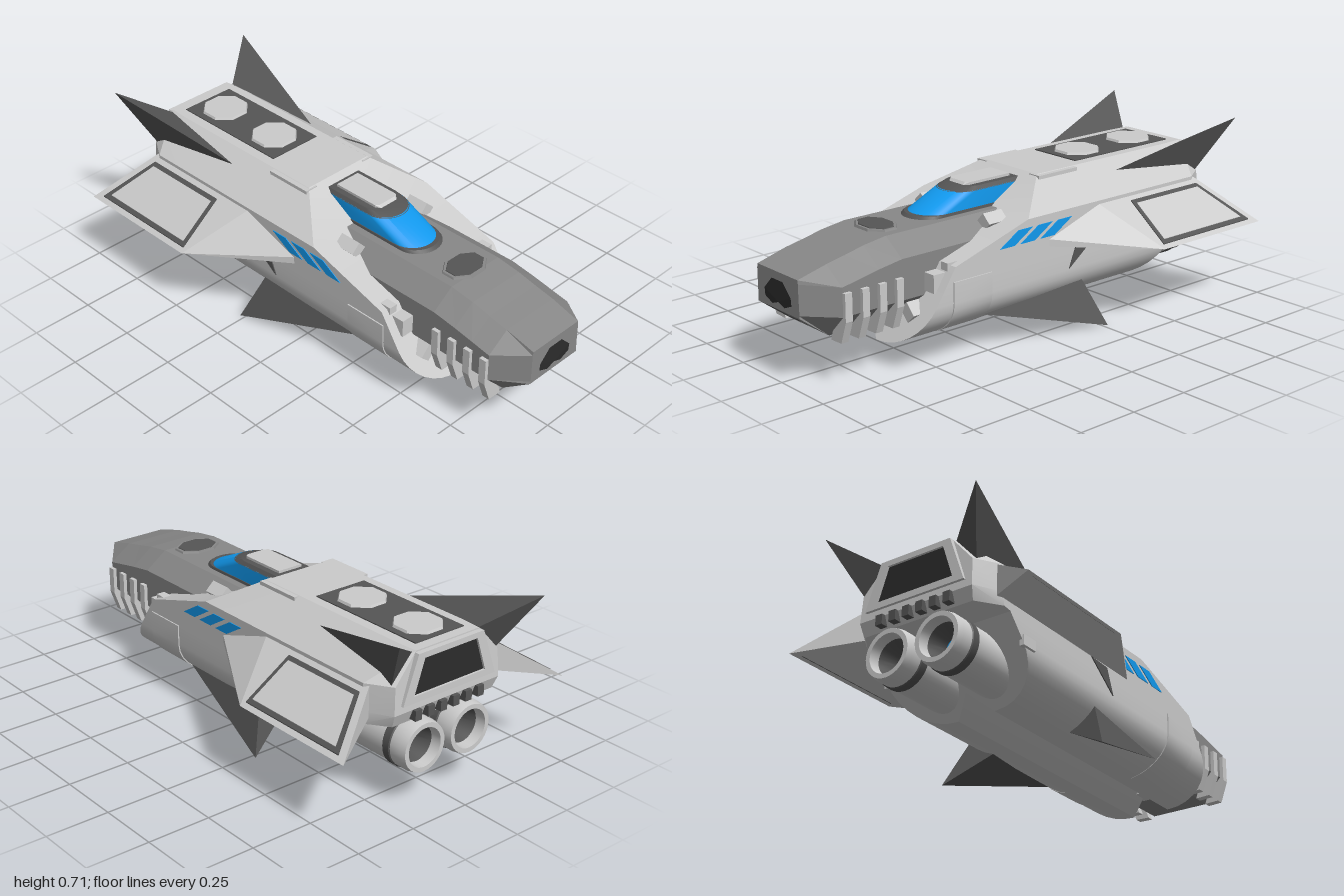
import * as THREE from 'three';
import { toCreasedNormals } from 'three/addons/utils/BufferGeometryUtils.js';
import { ConvexGeometry } from 'three/addons/geometries/ConvexGeometry.js';

const paint = (color) => new THREE.MeshStandardMaterial({ color });
const light = paint(0xcccccc);
const mid = paint(0x888888);
const dark = paint(0x555555);
const black = paint(0x2c2c2c);
const blue = paint(0x1199ee);

// Skins a stack of equal-length loops of [x, y, z], closed at both ends.
function loft(loops, crease) {
  const n = loops[0].length, tris = [];
  for (let i = 0; i < loops.length - 1; i++) {
    for (let j = 0; j < n; j++) {
      const k = (j + 1) % n, a = loops[i], b = loops[i + 1];
      tris.push([a[j], a[k], b[k]], [a[j], b[k], b[j]]);
    }
  }
  const first = loops[0], last = loops[loops.length - 1];
  for (let j = 1; j < n - 1; j++) {
    tris.push([first[0], first[j + 1], first[j]], [last[0], last[j], last[j + 1]]);
  }
  // The sign of the volume tells whether the faces point outwards.
  const v = (p) => new THREE.Vector3(...p);
  const volume = tris.reduce((s, [a, b, c]) => s + v(a).dot(v(b).cross(v(c))), 0);
  if (volume < 0) tris.forEach((t) => t.reverse());
  const geo = new THREE.BufferGeometry();
  geo.setAttribute('position', new THREE.Float32BufferAttribute(tris.flat(2), 3));
  geo.computeVertexNormals();
  return crease ? toCreasedNormals(geo, crease) : geo;
}

const solid = (pts) => new ConvexGeometry(pts.map((p) => new THREE.Vector3(...p)));

export function createModel() {
  const ship = new THREE.Group();
  ship.name = 'spaceship';

  const add = (name, geo, mat, pos = [0, 0, 0], rotZ = 0) => {
    const mesh = new THREE.Mesh(geo, mat);
    mesh.name = name;
    mesh.position.set(...pos);
    mesh.rotation.z = rotZ;
    ship.add(mesh);
    return mesh;
  };
  const box = (name, size, pos, mat, rotZ) => add(name, new THREE.BoxGeometry(...size), mat, pos, rotZ);
  // One convex solid on each side of the ship.
  const pair = (name, pts, mat) => {
    add(name + 'Left', solid(pts), mat);
    add(name + 'Right', solid(pts.map(([x, y, z]) => [-x, y, z])), mat);
  };

  // Hull: rows of [y, outer x, inner x, front z, side end z, back z, back x]
  const rows = [];
  for (let i = 0; i <= 8; i++) {
    const t = (i / 8) * Math.PI / 2;
    const y = 0.255 - 0.155 * Math.cos(t), x = 0.09 + 0.215 * Math.sin(t);
    const back = -0.53 - (y - 0.1) * 0.92;
    rows.push([y, x, Math.max(0, 0.08 - (y - 0.1) * 1.2), 0.64 - (y - 0.1) * 0.655, back + 0.01, back, x]);
  }
  rows.push(
    [0.335, 0.305, 0, 0.486, -0.735, -0.745, 0.305],
    [0.34, 0.305, 0, 0.483, -0.78, -0.87, 0.24],
    [0.39, 0.305, 0, 0.45, -0.79, -0.89, 0.25],
    [0.497, 0.305, 0, 0.1, -0.79, -0.885, 0.245],
    [0.605, 0.155, 0, -0.08, -0.79, -0.88, 0.15],
  );
  for (const s of [1, -1]) {
    const loops = rows.map(([y, xo, xi, zf, zm, zb, xb]) => [
      [s * xo, y, zf], [s * xo, y, zm], [s * xb, y, zb], [s * xi, y, zb], [s * xi, y, zf],
    ]);
    add(s > 0 ? 'hullLeft' : 'hullRight', loft(loops, 0.4), light);
    // Raised band around the lower flank
    const band = rows.slice(1, 10).map(([y, xo]) => [
      [s * (xo + 0.005), y, 0.46], [s * (xo + 0.005), y, 0.28], [s * (xo - 0.03), y, 0.28], [s * (xo - 0.03), y, 0.46],
    ]);
    add('flankBand', loft(band, 0.4), light);
  }

  // Nose: stations of [z, top half width, side x, top y, shoulder y, low side y, bottom y]
  const stations = [
    [1, 0.122, 0.125, 0.42, 0.405, 0.29, 0.28], [0.88, 0.125, 0.215, 0.452, 0.39, 0.28, 0.19],
    [0.8, 0.125, 0.215, 0.468, 0.405, 0.28, 0.19], [0.72, 0.125, 0.215, 0.486, 0.42, 0.28, 0.19],
    [0.62, 0.125, 0.215, 0.5, 0.435, 0.28, 0.19], [-0.1, 0.125, 0.215, 0.5, 0.435, 0.28, 0.19],
  ];
  add('nose', loft(stations.map(([z, w, x, t, sh, lo, b]) => [
    [w, t, z], [x, sh, z], [x, lo, z], [0.128, b, z],
    [-0.128, b, z], [-x, lo, z], [-x, sh, z], [-w, t, z],
  ])), mid);

  // Nose port: an octagon folded over the chin
  const port = new THREE.CircleGeometry(0.087, 8, Math.PI / 8);
  const pp = port.attributes.position;
  for (let i = 0; i < pp.count; i++) {
    const y = pp.getY(i) + 0.31;
    pp.setXYZ(i, pp.getX(i), y, 1.002 - Math.max(0, 0.28 - y) * 1.33);
  }
  add('nosePort', port.toNonIndexed(), black).geometry.computeVertexNormals();

  // Ribs along the nose
  for (const z of [0.865, 0.79, 0.715, 0.64]) {
    const outline = [[0.2, 0.37], [0.23, 0.37], [0.23, 0.265], [0.2, 0.18], [0.14, 0.178]];
    pair('noseRib', outline.flatMap(([x, y]) => [[x, y, z - 0.015], [x, y, z + 0.015]]), light);
  }

  // Octagonal plates
  const octagon = (name, rx, rz, y, z, mat) => {
    const geo = new THREE.CylinderGeometry(0.93, 1, 0.014, 8).toNonIndexed();
    geo.rotateY(Math.PI / 8).scale(rx * 1.08, 1, rz * 1.08).computeVertexNormals();
    add(name, geo, mat, [0, y, z]);
  };
  octagon('noseHatchRim', 0.095, 0.068, 0.5, 0.57, mid);
  octagon('noseHatch', 0.083, 0.058, 0.503, 0.57, dark);
  box('roofPanel', [0.23, 0.01, 0.52], [0, 0.604, -0.58], dark);
  for (const z of [-0.73, -0.44]) octagon('roofPlate', 0.09, 0.09, 0.611, z, light);
  for (const s of [1, -1]) box('roofRail', [0.055, 0.03, 0.2], [s * 0.15, 0.588, -0.17], light);

  // Canopy: round-fronted outlines raked backwards
  const outline = (y, w, front, rear, round) => {
    const loop = [[-w, y, rear], [w, y, rear]];
    for (let i = 0; i <= 14; i++) {
      const a = (i / 14) * Math.PI;
      loop.push([w * Math.cos(a), y, front - round + round * Math.sin(a)]);
    }
    return loop;
  };
  add('canopyRim', loft([outline(0.495, 0.096, 0.435, 0, 0.09), outline(0.51, 0.093, 0.415, 0, 0.09)], 0.5), dark);
  add('canopyGlass', loft([outline(0.5, 0.09, 0.42, 0.1, 0.09), outline(0.575, 0.09, 0.255, -0.05, 0.09)], 0.5), blue);
  add('canopyCap', loft([outline(0.573, 0.091, 0.26, -0.06, 0.09), outline(0.588, 0.08, 0.215, -0.06, 0.07)], 0.5), dark);
  add('canopyPlate', solid([0.587, 0.598].flatMap((y, i) => [
    [0.055, y, 0.17], [-0.055, y, 0.17], [0.04, y, 0.19 - i * 0.01], [-0.04, y, 0.19 - i * 0.01],
    [0.055, y, -0.03], [-0.055, y, -0.03],
  ])), light);

  // Clamps around the nose collar
  for (const s of [1, -1]) {
    box('upperClamp', [0.05, 0.06, 0.09], [s * 0.18, 0.475, 0.17], light, s * -0.75);
    box('sideClamp', [0.055, 0.07, 0.08], [s * 0.24, 0.33, 0.48], light);
    box('sideClampLug', [0.035, 0.03, 0.05], [s * 0.26, 0.385, 0.44], light);
    box('lowerClamp', [0.05, 0.06, 0.08], [s * 0.2, 0.225, 0.55], light, s * 0.75);
  }
  box('chinClamp', [0.055, 0.03, 0.08], [0, 0.172, 0.59], light);

  // Wings, with a framed panel lying on the sloping top
  pair('wing', [
    [0.295, 0.49, -0.26], [0.295, 0.49, -0.81], [0.295, 0.40, 0.01], [0.295, 0.37, 0.01],
    [0.295, 0.37, -0.81], [0.53, 0.328, -0.40], [0.53, 0.328, -0.95],
  ], light);
  const onWing = (corners, lift) => corners.flatMap(([x, z]) => {
    const y = 0.49 - (x - 0.295) * 0.69;
    return [[x, y + lift, z], [x, y - 0.01, z]];
  });
  pair('wingFrame', onWing([[0.325, -0.42], [0.325, -0.795], [0.512, -0.905], [0.512, -0.41]], 0.004), dark);
  pair('wingPanel', onWing([[0.342, -0.436], [0.342, -0.785], [0.497, -0.873], [0.497, -0.428]], 0.006), light);

  // Tail fins and belly fins
  pair('tailFin', [[0.21, 0.565, -0.45], [0.16, 0.6, -0.87], [0.25, 0.5, -0.87], [0.342, 0.713, -1]], dark);
  pair('bellyFin', [[0.25, 0.155, 0.28], [0.285, 0.19, -0.2], [0.17, 0.115, -0.2], [0.362, 0.005, -0.27]], dark);

  // Side windows and the scoops behind them
  for (let i = 0; i < 3; i++) {
    const z = -0.1 * i;
    pair('sideWindow', [0.3, 0.308].flatMap((x) => [
      [x, 0.41, z + 0.24], [x, 0.41, z + 0.17], [x, 0.465, z + 0.08], [x, 0.465, z + 0.15],
    ]), blue);
  }
  pair('sideScoop', [[0.3, 0.26, -0.11], [0.3, 0.36, -0.15], [0.3, 0.365, -0.25],
    [0.309, 0.26, -0.11], [0.309, 0.36, -0.15], [0.309, 0.365, -0.25]], dark);
  for (const s of [1, -1]) box('sideLug', [0.02, 0.04, 0.07], [s * 0.303, 0.255, -0.64], light);

  // Tail: framed dark bay with a row of teeth below
  const trapezoid = (path, top, bottom, y0, y1) => path.setFromPoints([
    [-bottom, y0], [bottom, y0], [top, y1], [-top, y1],
  ].map(([x, y]) => new THREE.Vector2(x, y)));
  const frame = trapezoid(new THREE.Shape(), 0.155, 0.22, 0.42, 0.6);
  frame.holes.push(trapezoid(new THREE.Path(), 0.125, 0.17, 0.445, 0.578));
  add('tailFrame', new THREE.ExtrudeGeometry(frame, { depth: 0.025, bevelEnabled: false }), light, [0, 0, -0.9]);
  add('tailBay', solid([-0.891, -0.87].flatMap((z) => [
    [-0.18, 0.44, z], [0.18, 0.44, z], [0.13, 0.58, z], [-0.13, 0.58, z],
  ])), black);
  for (let i = 0; i < 6; i++) box('tailTooth', [0.03, 0.04, 0.04], [-0.15 + i * 0.06, 0.37, -0.885], dark);

  // Engines
  const lathe = (pts) => toCreasedNormals(
    new THREE.LatheGeometry(pts.map(([r, z]) => new THREE.Vector2(r, z)), 32).rotateX(-Math.PI / 2).toNonIndexed(), 0.5);
  const shell = light.clone(), ring = dark.clone();
  shell.side = ring.side = THREE.DoubleSide;
  for (const s of [1, -1]) {
    const at = [s * 0.11, 0.23, 0];
    add('engine', lathe([[0.1, 0.45], [0.1, 0.83], [0.1, 0.875], [0.094, 0.9], [0.076, 0.9], [0.07, 0.82]]), shell, at);
    add('engineRing', lathe([[0.099, 0.79], [0.104, 0.795], [0.104, 0.825], [0.099, 0.83]]), ring, at);
    add('engineBore', lathe([[0.07, 0.86], [0.05, 0.8], [0.05, 0.78]]), ring, at);
    add('engineGlow', new THREE.CircleGeometry(0.055, 24).rotateY(Math.PI), blue, [s * 0.11, 0.23, -0.785]);
  }

  return ship;
}
